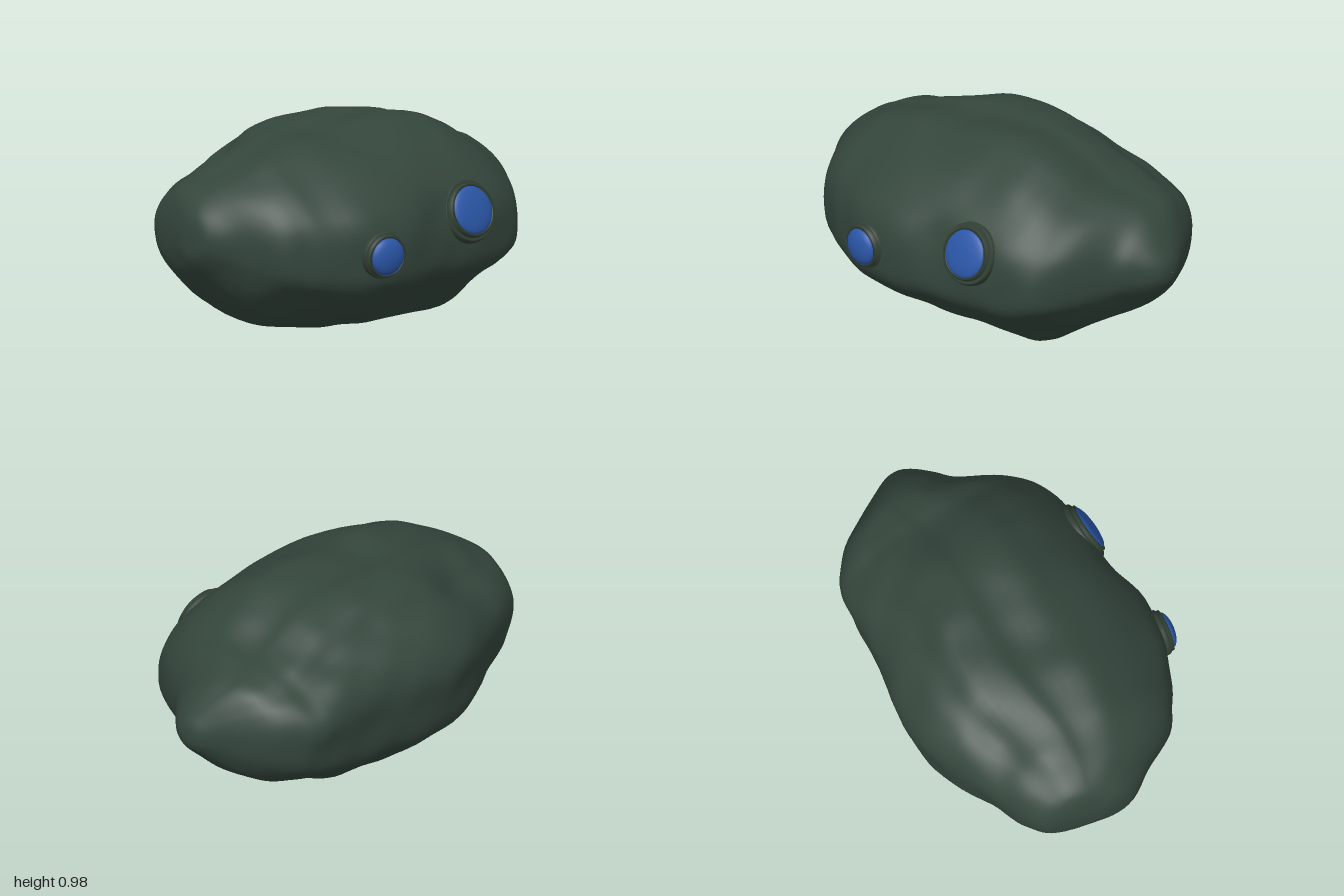
import * as THREE from 'three';
import { mergeVertices } from 'three/addons/utils/BufferGeometryUtils.js';

const mat = (name, color) => {
  const m = new THREE.MeshStandardMaterial({ color });
  m.name = name;
  return m;
};

// Stations along the boulder: x, top, bottom, back, front
const STATIONS = [
  [-1, 0.5, 0.5, -0.03, -0.03], [-0.995, 0.59, 0.43, -0.11, 0.04], [-0.965, 0.66, 0.37, -0.21, 0.1],
  [-0.9, 0.735, 0.29, -0.39, 0.2], [-0.8, 0.795, 0.19, -0.465, 0.38], [-0.7, 0.845, 0.125, -0.505, 0.46],
  [-0.6, 0.88, 0.08, -0.54, 0.52], [-0.4, 0.93, 0.035, -0.635, 0.6], [-0.2, 0.94, 0.02, -0.68, 0.635],
  [0, 0.965, 0.01, -0.66, 0.615], [0.15, 0.975, 0.005, -0.625, 0.6], [0.33, 0.96, 0.005, -0.595, 0.585],
  [0.45, 0.91, 0.05, -0.585, 0.57], [0.55, 0.85, 0.105, -0.57, 0.545], [0.62, 0.81, 0.14, -0.55, 0.5],
  [0.7, 0.785, 0.18, -0.51, 0.4], [0.8, 0.745, 0.24, -0.42, 0.23], [0.88, 0.68, 0.31, -0.29, 0.16],
  [0.95, 0.6, 0.38, -0.15, 0.1], [0.99, 0.54, 0.43, -0.07, 0.04], [1, 0.48, 0.48, -0.02, -0.02],
];

// Cross-section outline: depth -1..1, height 0..1, starting at the front
const OUTLINE = [
  [1, 0.45], [0.97, 0.3], [0.77, 0.2], [0.57, 0.1], [0.35, 0.01], [0, 0], [-0.45, 0.005], [-0.67, 0.1],
  [-0.91, 0.25], [-0.97, 0.45], [-1, 0.6], [-0.95, 0.71], [-0.82, 0.81], [-0.67, 0.88], [-0.51, 0.97],
  [-0.28, 1], [-0.1, 0.985], [0.2, 1], [0.42, 0.95], [0.66, 0.86], [0.88, 0.72], [0.975, 0.6],
];

// Broad hollows and bulges: centre x, y, z, radius, shift in y, shift in z
const SCULPT = [
  [0.42, 0.92, -0.32, 0.24, -0.055, 0], [-0.5, 0.88, -0.38, 0.18, -0.05, 0], [-0.25, 0.82, -0.5, 0.18, 0.025, 0],
  [0.42, 0.05, -0.35, 0.24, 0.05, 0], [-0.3, 0.05, -0.4, 0.18, 0.035, 0], [-0.6, 0.08, -0.05, 0.2, -0.03, 0],
  [-0.45, 0.18, 0.4, 0.18, -0.04, 0], [0.4, 0.06, 0.25, 0.12, -0.02, 0], [0.08, 0.6, 0.58, 0.11, 0, -0.02],
];

const spline = (points, closed = false) =>
  new THREE.CatmullRomCurve3(points.map(p => new THREE.Vector3(...p)), closed, 'catmullrom', 0.5);

// Small, smooth unevenness of the stone
const lump = (x, y, z) =>
  0.006 * Math.sin(9 * x + 5 * y + 2) * Math.sin(8 * z - 6 * y) +
  0.004 * Math.sin(21 * x + 3 * z) * Math.sin(17 * y + 11 * z + 1);

function sculpt(x, y, z) {
  let dy = 0, dz = 0;
  for (const [cx, cy, cz, r, py, pz] of SCULPT) {
    const w = Math.exp(-((x - cx) ** 2 + (y - cy) ** 2 + (z - cz) ** 2) / (r * r));
    dy += py * w;
    dz += pz * w;
  }
  return [dy, dz];
}

function boulderGeometry(rows = 80, cols = 88) {
  const heights = spline(STATIONS.map(s => [s[0], s[1], s[2]]));
  const depths = spline(STATIONS.map(s => [s[0], s[3], s[4]]));
  const outline = spline(OUTLINE.map(p => [p[0], p[1], 0]), true);
  const position = [], index = [];
  for (let i = 0; i <= rows; i++) {
    const h = heights.getPoint(i / rows), d = depths.getPoint(i / rows);
    // The cross-section rounds off towards both ends
    const round = 0.8 * THREE.MathUtils.smoothstep(Math.abs(h.x), 0.5, 0.95);
    for (let j = 0; j < cols; j++) {
      const o = outline.getPoint(j / cols);
      const angle = Math.atan2(2 * o.y - 1, o.x);
      const u = THREE.MathUtils.lerp(o.x, Math.cos(angle), round);
      const v = THREE.MathUtils.lerp(o.y, 0.5 + 0.5 * Math.sin(angle), round);
      const y = h.z + (h.y - h.z) * v;
      const z = (d.y + d.z) / 2 + u * (d.z - d.y) / 2;
      const n = lump(h.x, y, z);
      const [dy, dz] = sculpt(h.x, y, z);
      position.push(h.x, Math.max(0, y + n * (v - 0.5) * 2 + dy), z + n * u + dz);
      if (i < rows) {
        const k = (j + 1) % cols;
        const a = i * cols + j, b = a + cols, c = (i + 1) * cols + k, e = i * cols + k;
        index.push(a, e, c, a, c, b);
      }
    }
  }
  let g = new THREE.BufferGeometry();
  g.setAttribute('position', new THREE.Float32BufferAttribute(position, 3));
  g.setIndex(index);
  g = mergeVertices(g, 1e-4);
  g.computeVertexNormals();
  return g;
}

const lathe = pts => new THREE.LatheGeometry(pts.map(p => new THREE.Vector2(...p)), 40);

// Round eye: stepped socket with a domed lens, facing along a direction
function makeEye(name, radius, lensRadius, lensHeight, centre, facing, socketMat, lensMat) {
  const eye = new THREE.Group();
  eye.name = name;
  const r = radius, c = lensRadius + 0.012;
  const socket = new THREE.Mesh(lathe([
    [r, -0.06], [r, 0], [r * 0.97, 0.014], [r * 0.93, 0.018], [c + 0.006, 0.014],
    [c, 0.018], [c, 0.034], [lensRadius, 0.038], [lensRadius, 0.02],
  ]), socketMat);
  socket.name = 'eyeSocket';
  const dome = [];
  for (let i = 0; i <= 10; i++) {
    const a = (i / 10) * Math.PI / 2;
    dome.push([lensRadius * Math.cos(a), 0.034 + lensHeight * Math.sin(a)]);
  }
  const lens = new THREE.Mesh(lathe(dome), lensMat);
  lens.name = 'eyeLens';
  eye.add(socket, lens);
  eye.position.set(...centre);
  eye.quaternion.setFromUnitVectors(new THREE.Vector3(0, 1, 0), new THREE.Vector3(...facing).normalize());
  return eye;
}

export function createModel() {
  const stone = mat('dark green stone', 0x34463c);
  const rim = mat('olive rim', 0x324034);
  const blue = mat('blue lens', 0x2b57a8);

  const model = new THREE.Group();
  model.name = 'boulderCreature';
  const body = new THREE.Mesh(boulderGeometry(), stone);
  body.name = 'boulderBody';
  model.add(
    body,
    makeEye('smallEye', 0.114, 0.09, 0.037, [-0.353, 0.455, 0.61], [-0.17, 0, 1], rim, blue),
    makeEye('largeEye', 0.153, 0.116, 0.026, [0.238, 0.567, 0.567], [-0.03, 0.34, 1], rim, blue),
  );
  return model;
}
